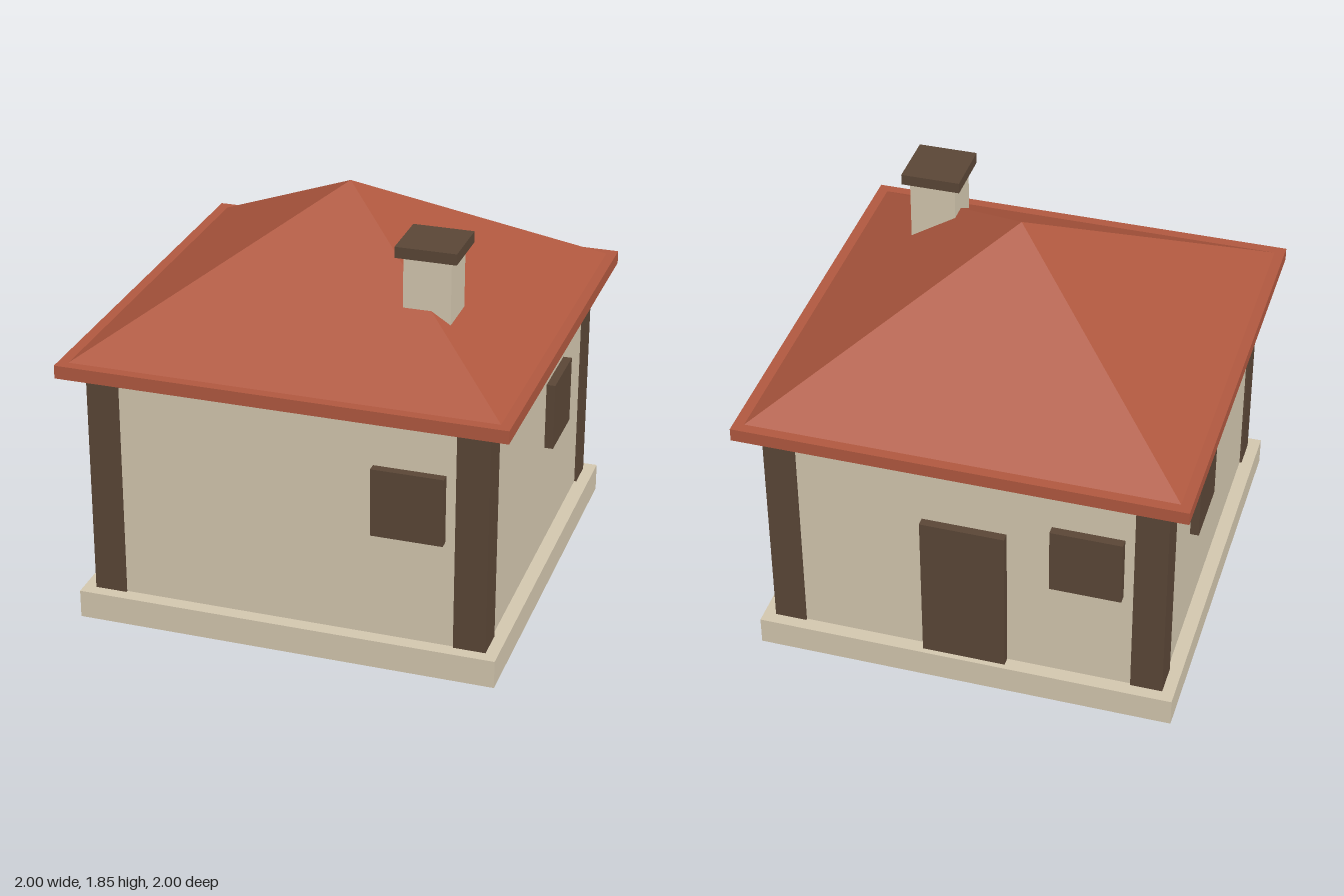
import * as THREE from 'three';

export function createModel() {
  const house = new THREE.Group();
  house.name = 'house';

  const plaster = new THREE.MeshStandardMaterial({ color: 0xd2c6ae, flatShading: true });
  const wood = new THREE.MeshStandardMaterial({ color: 0x5a4636, flatShading: true });
  const tile = new THREE.MeshStandardMaterial({ color: 0xb0583f, flatShading: true });

  // Box given by its lower and upper corners
  function box(name, material, [x0, y0, z0], [x1, y1, z1]) {
    const mesh = new THREE.Mesh(new THREE.BoxGeometry(x1 - x0, y1 - y0, z1 - z0), material);
    mesh.position.set((x0 + x1) / 2, (y0 + y1) / 2, (z0 + z1) / 2);
    mesh.name = name;
    house.add(mesh);
    return mesh;
  }

  // Foundation and walls
  box('foundation', plaster, [-0.955, 0, -0.955], [0.955, 0.13, 0.955]);
  box('walls', plaster, [-0.89, 0.13, -0.89], [0.89, 1.19, 0.89]);

  // Corner posts
  for (const sx of [-1, 1]) {
    for (const sz of [-1, 1]) {
      const post = box('cornerPost', wood, [0.755, 0.13, 0.755], [0.9, 1.19, 0.9]);
      post.position.x *= sx;
      post.position.z *= sz;
    }
  }

  // Shuttered windows and back door
  const low = 0.63, high = 0.945;
  box('frontWindow', wood, [0.39, low, 0.88], [0.71, high, 0.93]);
  box('backWindow', wood, [-0.71, low, -0.93], [-0.39, high, -0.88]);
  box('leftWindow', wood, [0.88, low, -0.41], [0.93, high, -0.095]);
  box('rightWindow', wood, [-0.93, low, -0.41], [-0.88, high, -0.095]);
  box('backDoor', wood, [-0.19, 0.13, -0.93], [0.19, 0.855, -0.88]);

  // Eaves slab and pyramid roof
  box('eaves', tile, [-1, 1.19, -1], [1, 1.25, 1]);
  const pyramid = new THREE.ConeGeometry(0.953 * Math.SQRT2, 0.6, 4);
  pyramid.rotateY(Math.PI / 4);
  const roof = new THREE.Mesh(pyramid, tile);
  roof.position.y = 1.55;
  roof.name = 'roof';
  house.add(roof);

  // Chimney with cap
  box('chimney', plaster, [0.405, 1.3, 0.32], [0.615, 1.75, 0.53]);
  box('chimneyCap', wood, [0.375, 1.75, 0.29], [0.645, 1.8, 0.56]);

  return house;
}
